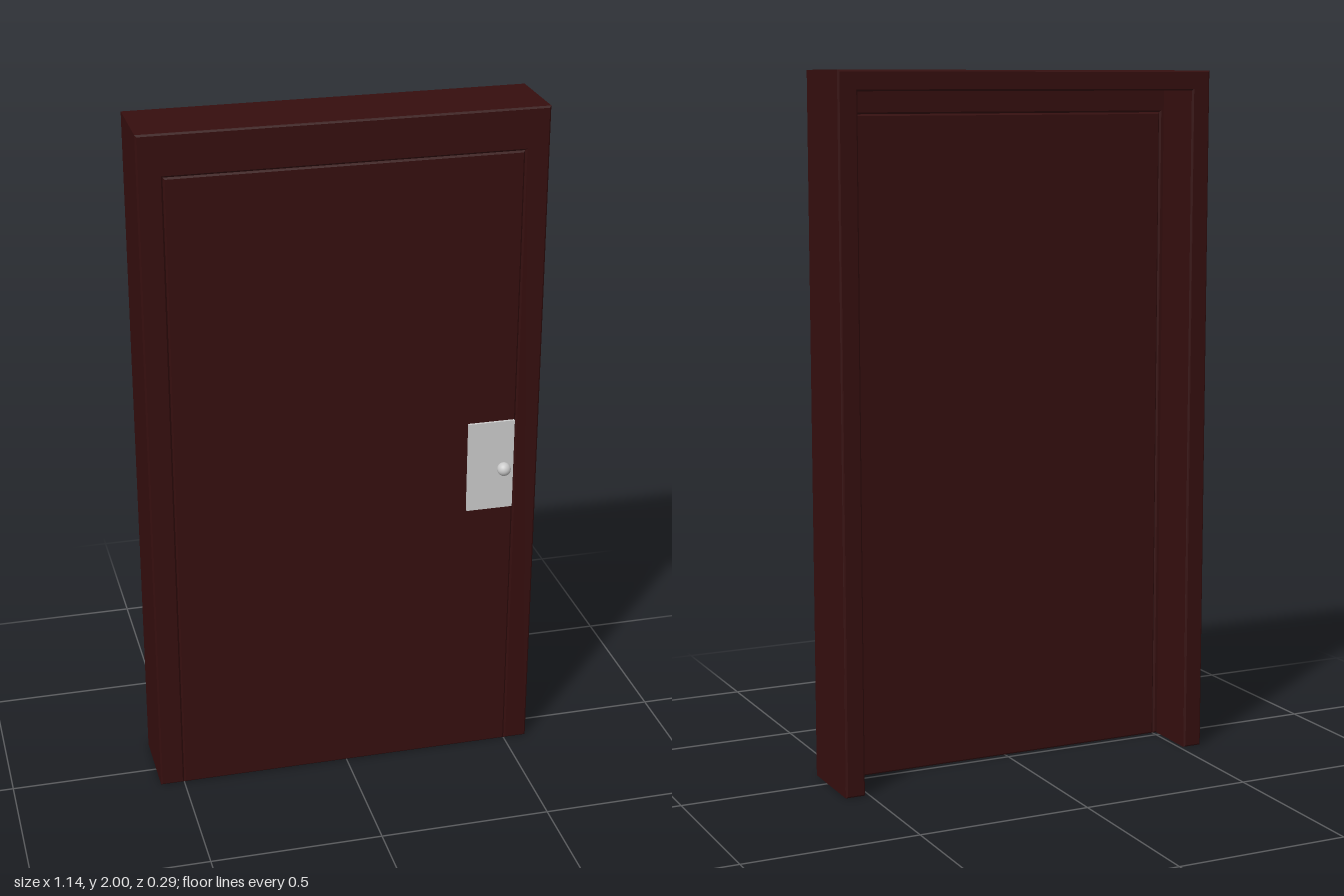
import * as THREE from 'three';

const wood = new THREE.MeshStandardMaterial({ color: 0x350e0e });
const metal = new THREE.MeshStandardMaterial({ color: 0xcccccc });
const BEVEL = 0.005;

// Extrudes an outline from z0 to z1 with a small chamfer kept inside the outline
function chamfered(name, points, z0, z1) {
  const shape = new THREE.Shape(points.map(([x, y]) => new THREE.Vector2(x, y)));
  const geometry = new THREE.ExtrudeGeometry(shape, {
    depth: z1 - z0 - 2 * BEVEL,
    bevelThickness: BEVEL,
    bevelSize: BEVEL,
    bevelOffset: -BEVEL,
    bevelSegments: 1,
  });
  geometry.translate(0, 0, z0 + BEVEL);
  const mesh = new THREE.Mesh(geometry, wood);
  mesh.name = name;
  return mesh;
}

// Arch of two jambs and a header around an opening
function arch(innerHalf, innerTop) {
  const w = 0.57, h = 2;
  return [
    [-w, 0], [-innerHalf, 0], [-innerHalf, innerTop], [innerHalf, innerTop],
    [innerHalf, 0], [w, 0], [w, h], [-w, h],
  ];
}

export function createModel() {
  const model = new THREE.Group();
  model.name = 'door';

  // Frame: deep thin casing behind, wider face around the door in front
  const frame = new THREE.Group();
  frame.name = 'frame';
  frame.add(
    chamfered('frameCasing', arch(0.513, 1.943), -0.147, 0.05),
    chamfered('frameFace', arch(0.5, 1.88), 0.018, 0.09),
  );

  // Door leaf, flush with the frame face
  const leaf = chamfered('doorLeaf', [[-0.5, 0], [0.5, 0], [0.5, 1.88], [-0.5, 1.88]], 0.018, 0.09);

  // Lock plate
  const plate = new THREE.Mesh(new THREE.BoxGeometry(0.138, 0.275, 0.01), metal);
  plate.name = 'lockPlate';
  plate.position.set(0.426, 0.942, 0.093);

  // Round knob on a thin stem
  const handle = new THREE.Group();
  handle.name = 'handle';
  handle.position.set(0.457, 0.942, 0);
  const stem = new THREE.Mesh(new THREE.CylinderGeometry(0.004, 0.004, 0.03, 16), metal);
  stem.name = 'stem';
  stem.rotation.x = Math.PI / 2;
  stem.position.z = 0.108;
  const knob = new THREE.Mesh(new THREE.SphereGeometry(0.02, 32, 20), metal);
  knob.name = 'knob';
  knob.position.z = 0.127;
  handle.add(stem, knob);

  model.add(frame, leaf, plate, handle);
  return model;
}
